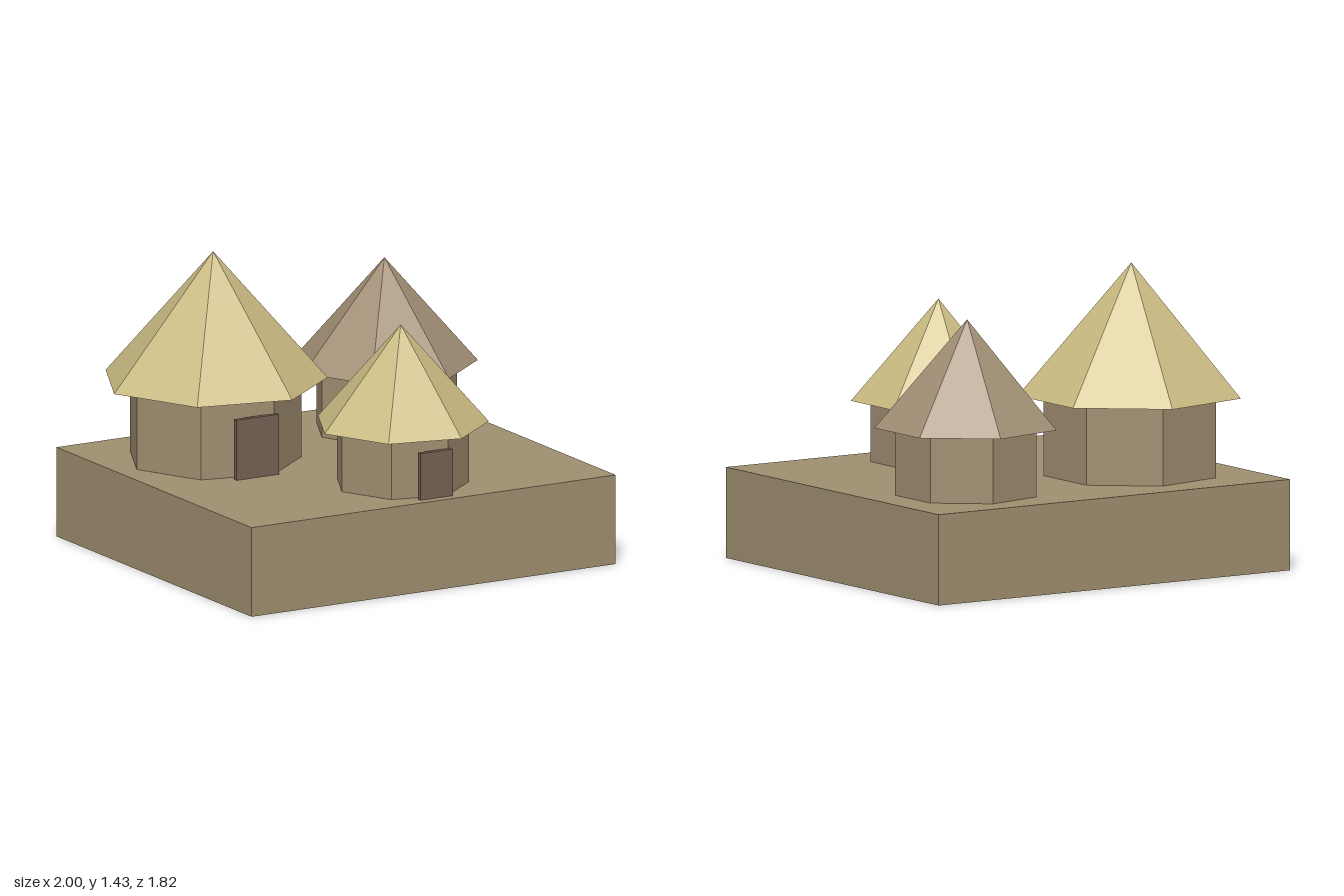
import * as THREE from 'three';

const material = (name, color) => {
  const m = new THREE.MeshStandardMaterial({ color, flatShading: true });
  m.name = name;
  return m;
};

export function createModel() {
  const earth = material('earth', 0x9f8f70);
  const mud = material('mud wall', 0xa08d70);
  const straw = material('straw thatch', 0xcabb82);
  const oldThatch = material('weathered thatch', 0xa28f75);
  const wood = material('door wood', 0x756153);

  const model = new THREE.Group();
  model.name = 'village';
  const add = (parent, name, geometry, mat, x, y, z) => {
    const mesh = new THREE.Mesh(geometry, mat);
    mesh.name = name;
    mesh.position.set(x, y, z);
    parent.add(mesh);
    return mesh;
  };

  // Ground block
  const ground = 0.43;
  add(model, 'groundBlock', new THREE.BoxGeometry(1.98, ground, 1.79), earth, 0.01, ground / 2, -0.015);

  // Seven-sided huts, with one corner pointing to -x
  const sides = 7, start = -Math.PI / 2;
  const huts = [
    { name: 'largeHut', x: -0.46, z: -0.35, wall: 0.415, roof: 0.538, eave: 0.81, top: 1.43, thatch: straw,
      door: { x: -0.465, width: 0.23, top: 0.72, z: 0.055 } },
    { name: 'smallHut', x: 0.055, z: 0.503, wall: 0.32, roof: 0.414, eave: 0.72, top: 1.195, thatch: straw,
      door: { x: 0.055, width: 0.175, top: 0.655, z: 0.822 } },
    { name: 'mediumHut', x: 0.525, z: -0.44, wall: 0.34, roof: 0.439, eave: 0.75, top: 1.255, thatch: oldThatch },
  ];
  for (const h of huts) {
    const hut = new THREE.Group();
    hut.name = h.name;
    model.add(hut);
    const wallHeight = h.eave - ground;
    add(hut, 'wall', new THREE.CylinderGeometry(h.wall, h.wall, wallHeight, sides, 1, false, start),
      mud, h.x, ground + wallHeight / 2, h.z);
    const roofHeight = h.top - h.eave;
    add(hut, 'roof', new THREE.ConeGeometry(h.roof, roofHeight, sides, 1, false, start),
      h.thatch, h.x, h.eave + roofHeight / 2, h.z);
    // Door slab standing just in front of the wall
    if (h.door) {
      const d = h.door, height = d.top - ground;
      add(hut, 'door', new THREE.BoxGeometry(d.width, height, 0.025), wood, d.x, ground + height / 2, d.z);
    }
  }
  return model;
}
